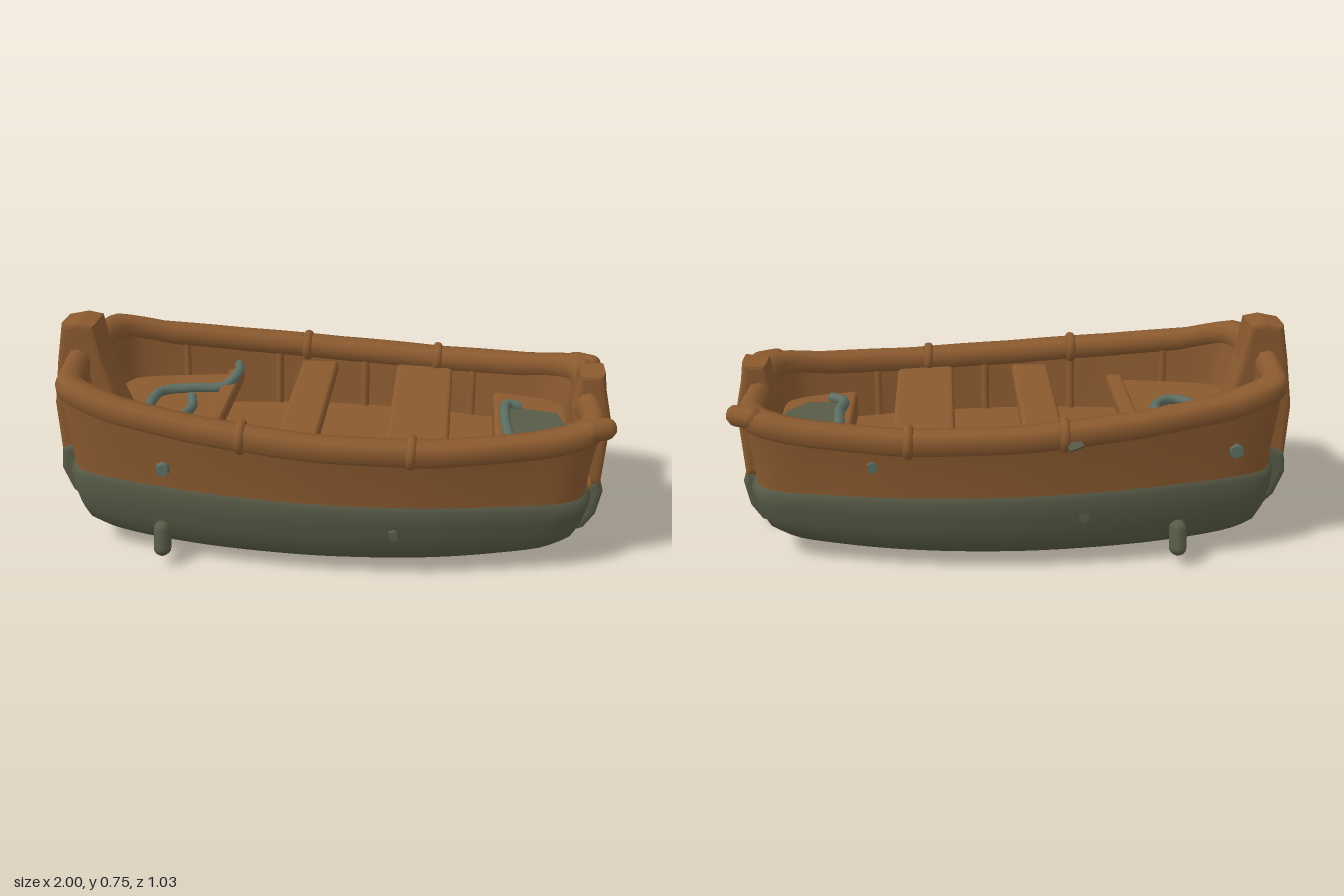
import * as THREE from 'three';

const mat = (name, color) => {
  const m = new THREE.MeshStandardMaterial({ color });
  m.name = name;
  return m;
};

// Half plan of the boat at the gunwale: [x, half width]
const PLAN = [[-0.93, 0], [-0.915, 0.2], [-0.885, 0.34], [-0.83, 0.375], [-0.5, 0.45], [-0.2, 0.485], [0.05, 0.493],
  [0.4, 0.465], [0.7, 0.405], [0.89, 0.35], [0.945, 0.29], [0.945, 0]];
// Height of the gunwale top along the boat
const SHEER = [[-1, 0.65], [-0.88, 0.64], [-0.7, 0.595], [-0.4, 0.56], [0, 0.528], [0.4, 0.515], [0.75, 0.53], [1, 0.565]];

function lerpTable(table, x) {
  for (let i = 1; i < table.length; i++) {
    const [x0, y0] = table[i - 1], [x1, y1] = table[i];
    if (x <= x1 && x1 > x0) return y0 + (y1 - y0) * Math.max(0, (x - x0) / (x1 - x0));
  }
  return table[table.length - 1][1];
}
const width = (x) => lerpTable(PLAN, x);
const sheer = (x) => lerpTable(SHEER, x);
const waterline = (x) => 0.288 - 0.018 * x;
const flat = (y) => () => y;
const rocker = (y, k) => (x) => y + k * x ** 4;
const below = (d) => (x) => sheer(x) - d;

// Closed plan loop, front side first, then mirrored
const half = PLAN.map(([x, z]) => new THREE.Vector3(x, 0, z));
const mirrored = half.slice(1, -1).reverse().map((p) => new THREE.Vector3(p.x, 0, -p.z));
const loop = new THREE.CatmullRomCurve3([...half, ...mirrored], true, 'centripetal');
const N = 112;
const ring = loop.getSpacedPoints(N).slice(0, N);

// Shell lofted through levels [scaleX, scaleZ, height function of x]
function shell(levels) {
  const pos = [], index = [];
  for (const [sx, sz, h] of levels) for (const p of ring) pos.push(p.x * sx, h(p.x), p.z * sz);
  for (let j = 0; j < levels.length - 1; j++) {
    for (let i = 0; i < N; i++) {
      const k = (i + 1) % N;
      const a = j * N + i, b = j * N + k, c = b + N, d = a + N;
      index.push(a, b, c, a, c, d);
    }
  }
  const g = new THREE.BufferGeometry();
  g.setAttribute('position', new THREE.Float32BufferAttribute(pos, 3));
  g.setIndex(index);
  g.computeVertexNormals();
  return g;
}

// Outline extruded with softened edges that stay inside the outline
function soft(points, depth, b) {
  return new THREE.ExtrudeGeometry(new THREE.Shape(points.map((p) => new THREE.Vector2(...p))), {
    depth: depth - 2 * b, bevelEnabled: true, bevelThickness: b, bevelSize: b, bevelOffset: -b, bevelSegments: 3,
  }).translate(0, 0, b);
}
// Side profile extruded across the boat
const profile = (points, w) => soft(points, w, 0.022).translate(0, 0, -w / 2 + 0.006);

// Horizontal board fitted between the inner walls
function board(x0, x1, top, thick, fit) {
  const pts = [], n = 8;
  for (let i = 0; i <= n; i++) {
    const x = x0 + (x1 - x0) * i / n;
    pts.push([x, width(x) * fit]);
  }
  const back = pts.map(([x, z]) => [x, -z]).reverse();
  return soft([...pts, ...back], thick, 0.016).rotateX(Math.PI / 2).translate(0, top, 0);
}

const tube = (pts, r, seg = 48) => new THREE.TubeGeometry(
  new THREE.CatmullRomCurve3(pts.map((p) => new THREE.Vector3(...p))), seg, r, 8);

export function createModel() {
  const boat = new THREE.Group();
  boat.name = 'rowingBoat';
  const wood = mat('brown wood', 0x8b5a2f);
  const paint = mat('grey green hull paint', 0x585b47);
  const cord = mat('grey rope', 0x5d6e62);
  const add = (name, geometry, material, x = 0, y = 0, z = 0) => {
    const m = new THREE.Mesh(geometry, material);
    m.name = name;
    m.position.set(x, y, z);
    boat.add(m);
    return m;
  };

  // Painted lower hull and bottom
  add('lowerHull', shell([
    [0, 0, flat(0.033)], [0.6, 0.6, flat(0.033)], [0.82, 0.77, rocker(0.036, 0.03)], [0.89, 0.85, rocker(0.058, 0.03)],
    [0.93, 0.905, rocker(0.095, 0.02)], [0.95, 0.94, flat(0.15)], [0.966, 0.966, flat(0.21)],
    [0.976, 0.978, (x) => waterline(x) - 0.02], [0.955, 0.955, waterline],
  ]), paint);
  add('bottomPlate', new THREE.CylinderGeometry(0.3, 0.3, 0.02, 48), paint, 0.03, 0.025, 0).scale.x = 2.15;

  // Wooden upper hull, inner walls and floor
  add('upperHull', shell([
    [0.955, 0.958, (x) => waterline(x) - 0.005], [0.965, 0.972, (x) => waterline(x) + 0.1], [0.988, 1.0, below(0.06)],
  ]), wood);
  add('innerWall', shell([[0.925, 0.87, below(0.05)], [0.91, 0.85, flat(0.4)], [0.89, 0.82, flat(0.265)]]), wood);
  add('floor', shell([[0.9, 0.83, flat(0.27)], [0, 0, flat(0.27)]]), wood);

  // Broad rounded gunwale, flush with the outside of the hull
  add('gunwale', shell([
    [0.93, 0.87, below(0.085)], [0.98, 0.985, below(0.085)], [1.0, 1.015, below(0.065)], [1.003, 1.02, below(0.03)],
    [0.99, 0.995, below(0.006)], [0.965, 0.93, below(0)], [0.935, 0.85, below(0.008)], [0.92, 0.82, below(0.035)],
    [0.92, 0.825, below(0.07)], [0.93, 0.87, below(0.085)],
  ]), wood);
  for (const s of [-1, 1]) {
    const knob = add('gunwaleCorner', new THREE.CapsuleGeometry(0.038, 0.06, 4, 10), wood, 0.925, 0.525, s * 0.3);
    knob.rotation.set(0, s * 0.5, Math.PI / 2);
  }

  // Raised end decks and seats
  add('bowDeck', board(-0.84, -0.42, 0.385, 0.11, 0.86), wood);
  add('bowDeckEdge', board(-0.44, -0.38, 0.41, 0.06, 0.84), wood);
  add('sternDeck', board(0.6, 0.87, 0.37, 0.1, 0.86), wood);
  add('narrowSeat', board(-0.145, -0.005, 0.46, 0.06, 0.79), wood);
  add('wideSeat', board(0.225, 0.44, 0.45, 0.06, 0.86), wood);

  // Ribs along the inner walls
  for (const s of [-1, 1]) {
    for (const x of [-0.6, -0.24, 0.1, 0.52]) {
      const z = width(x) * s;
      add('rib', tube([[x, 0.27, z * 0.82], [x, 0.38, z * 0.85], [x, sheer(x) - 0.05, z * 0.88]], 0.016, 8), wood);
    }
  }

  // Tall bow post and its painted foot
  add('bowPost', profile([[-0.95, 0.735], [-0.975, 0.6], [-1, 0.43], [-0.99, 0.22], [-0.85, 0.25], [-0.72, 0.36],
    [-0.76, 0.46], [-0.8, 0.6], [-0.825, 0.74], [-0.88, 0.75]], 0.14), wood);
  add('bowPostFoot', profile([[-0.988, 0.25], [-0.996, 0.17], [-0.96, 0.08], [-0.91, 0.03], [-0.86, 0.02], [-0.82, 0.06],
    [-0.8, 0.2], [-0.84, 0.33]], 0.16), paint);
  // Short stern post and its painted foot
  add('sternPost', profile([[0.88, 0.625], [0.965, 0.63], [0.975, 0.56], [1, 0.45], [0.985, 0.2], [0.87, 0.2],
    [0.86, 0.5]], 0.125), wood);
  add('sternPostFoot', profile([[0.985, 0.215], [0.998, 0.17], [0.98, 0.08], [0.94, 0.02], [0.89, 0], [0.83, 0.025],
    [0.82, 0.15], [0.87, 0.215]], 0.115), paint);

  // Swollen paint beside the stern foot, bare wood patch and bare spots
  for (const z of [-0.085, 0.085]) add('footLump', new THREE.SphereGeometry(0.045, 12, 8), paint, 0.905, 0.185, z).scale.x = 0.7;
  add('barePatch', new THREE.BoxGeometry(0.008, 0.17, 0.075), wood, 0.914, 0.19, 0.165).rotation.z = -0.2;
  for (const [x, y, z] of [[-0.92, 0.15, 0.08], [0.94, 0.115, -0.052]]) {
    add('bareSpot', new THREE.SphereGeometry(0.017, 8, 6), wood, x, y, z);
  }

  // Stubby pegs low on both sides
  for (const s of [-1, 1]) {
    const peg = add('peg', new THREE.CapsuleGeometry(0.031, 0.065, 4, 10), paint, -0.53, 0.096, s * 0.425);
    peg.rotation.x = s * -0.25;
    peg.scale.z = 1.3;
  }

  // Bolts: [x, y, z, radius, faces an end]
  const bolts = [[-0.51, 0.37, 0.432, 0.028, 0], [0.27, 0.18, 0.452, 0.022, 0], [-0.72, 0.4, -0.385, 0.03, 0],
    [-0.2, 0.2, -0.448, 0.022, 0], [0.5, 0.39, -0.422, 0.025, 0], [0.915, 0.395, 0.11, 0.034, 1], [-0.89, 0.38, -0.14, 0.03, 1]];
  for (const [x, y, z, r, end] of bolts) {
    const bolt = add('bolt', new THREE.CylinderGeometry(r * 0.8, r, 0.045, 6), y < 0.25 ? paint : cord, x, y, z);
    if (end) bolt.rotation.z = -Math.sign(x) * Math.PI / 2;
    else bolt.rotation.x = Math.sign(z) * Math.PI / 2;
  }

  // Lashings around the gunwale, one with a loose end
  for (const [x, s] of [[-0.13, -1], [0.38, -1], [-0.24, 1], [0.32, 1]]) {
    const tie = add('lashing', new THREE.TorusGeometry(0.047, 0.012, 8, 20), wood, x, sheer(x) - 0.042, s * width(x) * 0.92);
    tie.rotation.y = Math.PI / 2;
    tie.scale.set(1.1, 1, 1.4);
  }
  const tail = add('lashingTail', new THREE.BoxGeometry(0.05, 0.012, 0.1), paint, -0.15, 0.5, -0.475);
  tail.rotation.set(-0.75, 0.35, 0);

  // Coiled rope on the bow deck
  const coil = [[-0.39, -0.35], [-0.38, -0.27], [-0.43, -0.22], [-0.55, -0.19], [-0.65, -0.15], [-0.67, -0.06],
    [-0.65, 0.07], [-0.59, 0.11], [-0.53, 0.07], [-0.51, -0.02], [-0.53, -0.11]];
  add('rope', tube(coil.map(([x, z], i) => [x, i < 2 ? 0.44 : 0.4, z]), 0.019), cord);

  // Folded cloth on the stern deck with a rolled edge
  const cloth = new THREE.Shape([[0.63, -0.2], [0.74, -0.18], [0.83, -0.16], [0.86, -0.04], [0.85, 0.12], [0.78, 0.22],
    [0.65, 0.21]].map((p) => new THREE.Vector2(...p)));
  const clothGeo = new THREE.ExtrudeGeometry(cloth, { depth: 0.009, bevelEnabled: false });
  add('cloth', clothGeo.rotateX(Math.PI / 2).translate(0, 0.378, 0), paint);
  add('clothRoll', tube([[0.7, 0.38, -0.2], [0.65, 0.39, -0.19], [0.64, 0.385, -0.05], [0.65, 0.385, 0.1], [0.64, 0.385, 0.2],
    [0.69, 0.38, 0.26]], 0.02), cord);

  return boat;
}
